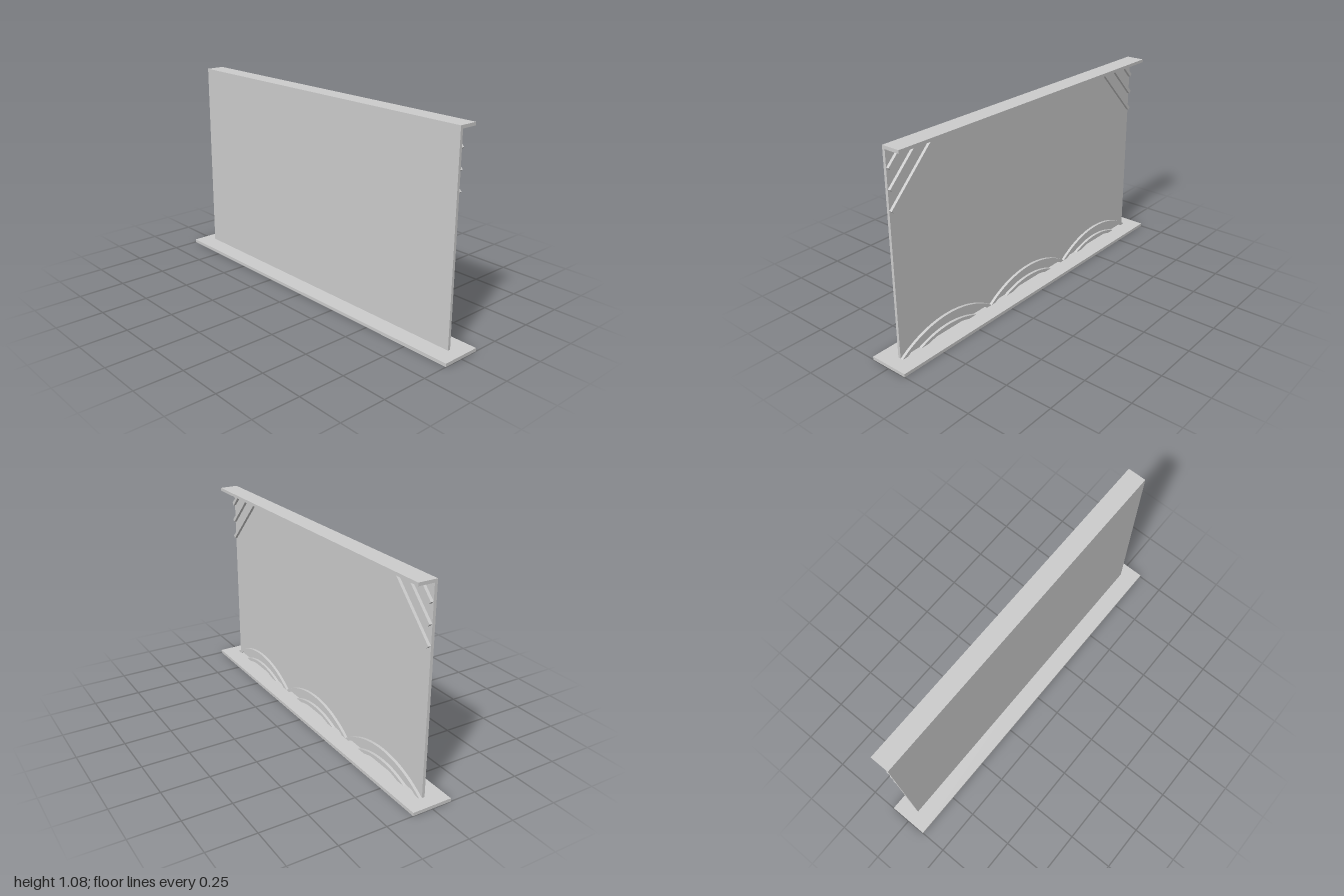
import * as THREE from 'three';

const material = new THREE.MeshStandardMaterial({ color: 0xcccccc });
const HALF = 0.93;      // half width of the panel
const FLOOR = 0.017;    // top of the base
const CEILING = 1.06;   // underside of the top ledge
const STRIP = 0.018;    // width of the raised trim
const RELIEF = 0.015;   // depth of the raised trim

export function createModel() {
  const group = new THREE.Group();

  const add = (name, geometry) => {
    const mesh = new THREE.Mesh(geometry, material);
    mesh.name = name;
    group.add(mesh);
    return mesh;
  };

  const box = (name, x0, x1, y0, y1, z0, z1) =>
    add(name, new THREE.BoxGeometry(x1 - x0, y1 - y0, z1 - z0))
      .position.set((x0 + x1) / 2, (y0 + y1) / 2, (z0 + z1) / 2);

  // Raised trim on the back face of the panel
  const trim = (name, shape) => {
    const geometry = new THREE.ExtrudeGeometry(shape, { depth: RELIEF, bevelEnabled: false, curveSegments: 32 });
    add(name, geometry).position.z = -0.005 - RELIEF;
  };

  // Base, upright panel and ledge that projects to the back
  box('base', -1, 1, 0, FLOOR, -0.107, 0.107);
  box('panel', -HALF, HALF, FLOOR, CEILING, -0.005, 0.01);
  box('topLedge', -HALF, HALF, CEILING, 1.076, -0.09, 0.01);

  // Three diagonal strips in each upper corner, square-cut at the lower end
  const d = STRIP * Math.SQRT1_2;
  for (const side of [1, -1]) {
    for (let i = 0; i < 3; i++) {
      const low = 0.765 + i * 0.1;
      const outline = [
        [HALF - d, low],
        [HALF, low + d],
        [HALF - (CEILING - low - d), CEILING],
        [HALF - d - (CEILING - low), CEILING],
      ].map(([x, y]) => new THREE.Vector2(side * x, y));
      trim(side > 0 ? 'leftCornerStrip' : 'rightCornerStrip', new THREE.Shape(outline));
    }
  }

  // Three pairs of concentric arches rising from the base
  const centreY = -0.413;
  const drop = FLOOR - centreY;
  for (const x of [-0.62, 0, 0.62]) {
    for (const [name, outer] of [['outerArch', 0.53], ['innerArch', 0.47]]) {
      const inner = outer - STRIP;
      const a = Math.asin(drop / outer);
      const b = Math.asin(drop / inner);
      const shape = new THREE.Shape();
      shape.absarc(x, centreY, outer, a, Math.PI - a, false);
      shape.absarc(x, centreY, inner, Math.PI - b, b, true);
      shape.closePath();
      trim(name, shape);
    }
  }

  return group;
}
